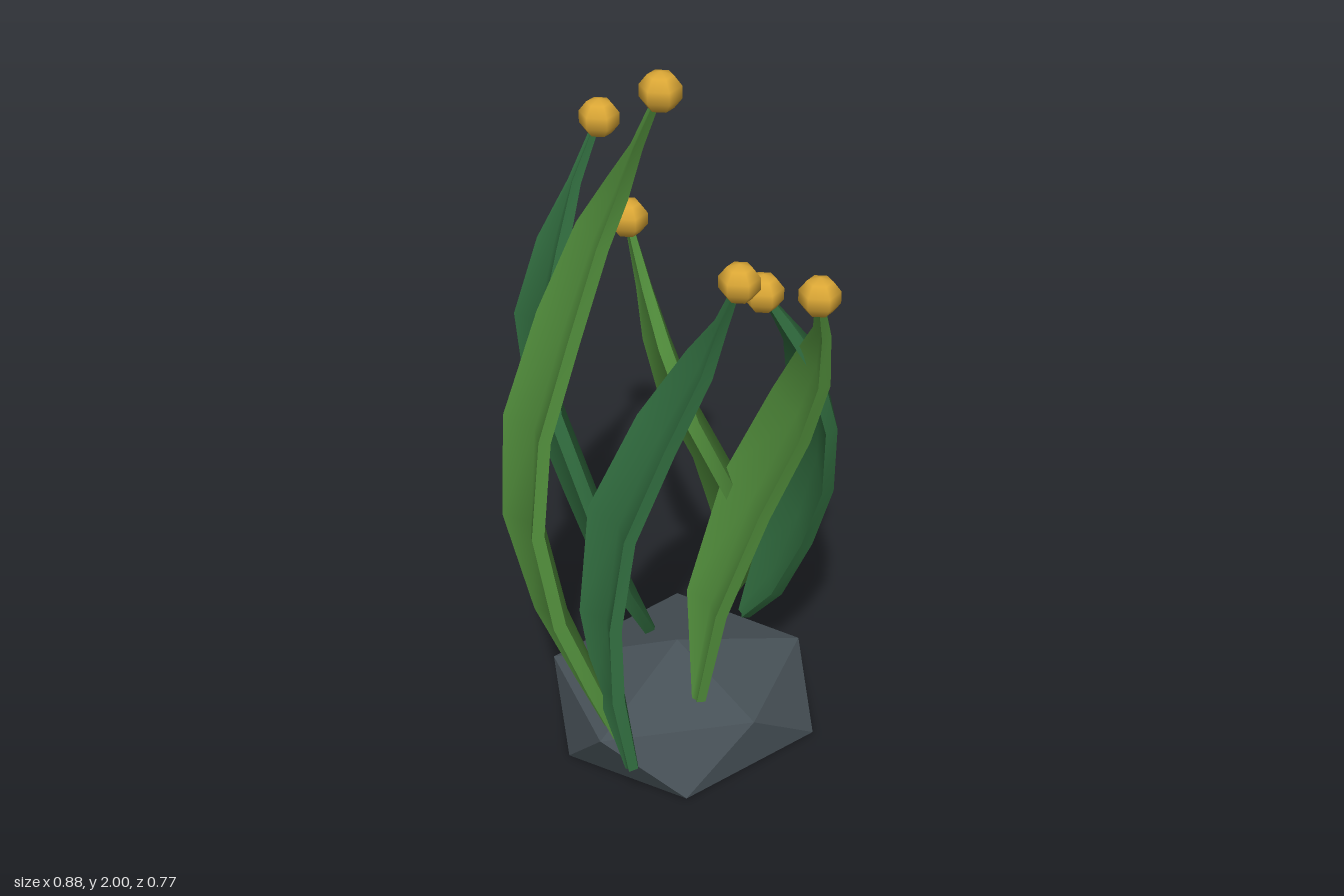
import * as THREE from 'three';
import { toCreasedNormals } from 'three/addons/utils/BufferGeometryUtils.js';
import { ConvexGeometry } from 'three/addons/geometries/ConvexGeometry.js';

const material = (name, color) => {
  const m = new THREE.MeshStandardMaterial({ color });
  m.name = name;
  return m;
};

// Ring corners as [side, edge]: a thin strip with a middle fold line
const RING = [[1, 1], [1, 0], [1, -1], [-1, -1], [-1, 0], [-1, 1]];
const CAP = [[0, 1, 4], [0, 4, 5], [1, 2, 3], [1, 3, 4]];

// Cupped blade swept through stations [x, y, z, width]; width runs mostly along z.
function bladeGeometry(stations) {
  const pos = [], index = [], last = stations.length - 1;
  const points = stations.map((s) => new THREE.Vector3(s[0], s[1], s[2]));
  points.forEach((p, i) => {
    const w = stations[i][3];
    const along = points[Math.min(i + 1, last)].clone().sub(points[Math.max(i - 1, 0)]).normalize();
    const across = new THREE.Vector3(0, 0, 1).addScaledVector(along, -along.z);
    const normal = along.clone().cross(across).normalize();
    const thick = i === last ? 0.007 : i === 0 || i === last - 1 ? 0.013 : 0.017;
    const cup = 0.085 * w;
    for (const [s, e] of RING) {
      const v = p.clone().addScaledVector(across, e * w / 2)
        .addScaledVector(normal, s * thick + (e === 0 ? cup : -cup));
      pos.push(v.x, v.y, v.z);
    }
    if (i === last) return;
    for (let k = 0; k < 6; k++) {
      const a = i * 6 + k, b = i * 6 + (k + 1) % 6;
      index.push(a, b, b + 6, a, b + 6, a + 6);
    }
  });
  for (const [a, b, c] of CAP) index.push(a, c, b, last * 6 + a, last * 6 + b, last * 6 + c);
  const g = new THREE.BufferGeometry();
  g.setAttribute('position', new THREE.Float32BufferAttribute(pos, 3));
  g.setIndex(index);
  return toCreasedNormals(g, 0.9);
}

export function createModel() {
  const model = new THREE.Group();
  model.name = 'plantOnRock';
  const stone = material('slateGrey', 0x475157);
  const light = material('leafGreen', 0x4f8a3a);
  const dark = material('deepGreen', 0x306b3e);
  const gold = material('gold', 0xdca836);

  // Rock: faceted boulder with a flat underside
  const rockPoints = [
    [0.01, 0.28, 0],
    [0.38, 0.17, 0], [0.12, 0.15, 0.26], [-0.3, 0.18, 0.2], [-0.27, 0.16, -0.21], [0.15, 0.18, -0.315],
    [0.33, 0, 0.2], [-0.1, 0, 0.31], [-0.32, 0, 0.02], [-0.1, 0, -0.23], [0.3, 0, -0.17],
  ].map((p) => new THREE.Vector3(...p));
  const rock = new THREE.Mesh(new ConvexGeometry(rockPoints), stone);
  rock.name = 'rock';
  model.add(rock);

  // Each frond is a blade ending in a round bud
  const budGeometry = new THREE.SphereGeometry(0.054, 6, 5).rotateY(Math.PI / 6).scale(1, 0.95, 1);
  const addFrond = (name, mat, stations) => {
    const frond = new THREE.Group();
    frond.name = name;
    const blade = new THREE.Mesh(bladeGeometry(stations), mat);
    blade.name = 'blade';
    const bud = new THREE.Mesh(budGeometry, gold);
    bud.name = 'bud';
    bud.position.set(...stations[stations.length - 1].slice(0, 3));
    frond.add(blade, bud);
    model.add(frond);
  };

  addFrond('tallFrond', light, [
    [-0.235, 0.15, 0.19, 0.03], [-0.3, 0.34, 0.14, 0.12], [-0.365, 0.53, 0.07, 0.19],
    [-0.4, 0.78, 0, 0.23], [-0.36, 1.02, -0.06, 0.23], [-0.255, 1.27, -0.1, 0.2],
    [-0.16, 1.5, -0.11, 0.14], [-0.11, 1.64, -0.075, 0.08], [-0.09, 1.78, -0.01, 0.02],
    [-0.06, 1.947, 0.06, 0.012],
  ]);
  addFrond('backLeftFrond', dark, [
    [0, 0.2, -0.15, 0.03], [-0.12, 0.46, -0.1, 0.16], [-0.2, 0.73, -0.11, 0.2],
    [-0.265, 0.99, -0.19, 0.2], [-0.265, 1.21, -0.255, 0.18], [-0.2, 1.4, -0.285, 0.12],
    [-0.13, 1.55, -0.32, 0.025], [-0.056, 1.707, -0.335, 0.012],
  ]);
  addFrond('backRightFrond', light, [
    [0.28, 0.15, -0.27, 0.03], [0.285, 0.3, -0.21, 0.11], [0.26, 0.45, -0.15, 0.17],
    [0.18, 0.72, -0.085, 0.22], [0.07, 0.96, -0.09, 0.2], [0.02, 1.15, -0.13, 0.13],
    [0, 1.29, -0.18, 0.05], [-0.03, 1.475, -0.22, 0.012],
  ]);
  addFrond('frontLeftFrond', dark, [
    [-0.25, 0.15, 0.3, 0.03], [-0.27, 0.35, 0.23, 0.13], [-0.26, 0.54, 0.16, 0.2],
    [-0.2, 0.78, 0.1, 0.22], [-0.08, 1.02, 0.1, 0.18], [0.02, 1.22, 0.13, 0.11],
    [0.05, 1.36, 0.18, 0.03], [0.07, 1.495, 0.23, 0.012],
  ]);
  addFrond('frontRightFrond', light, [
    [0, 0.2, 0.17, 0.03], [0.06, 0.46, 0.11, 0.17], [0.185, 0.76, 0.09, 0.22],
    [0.275, 1.02, 0.15, 0.2], [0.295, 1.2, 0.22, 0.14], [0.275, 1.34, 0.28, 0.05],
    [0.232, 1.475, 0.335, 0.012],
  ]);
  addFrond('sideFrond', dark, [
    [0.285, 0.18, -0.15, 0.03], [0.335, 0.34, -0.09, 0.15], [0.39, 0.55, -0.05, 0.22],
    [0.402, 0.78, 0.02, 0.25], [0.37, 1.0, 0.085, 0.22], [0.305, 1.2, 0.125, 0.13],
    [0.24, 1.3, 0.13, 0.05], [0.183, 1.39, 0.13, 0.012],
  ]);
  return model;
}
